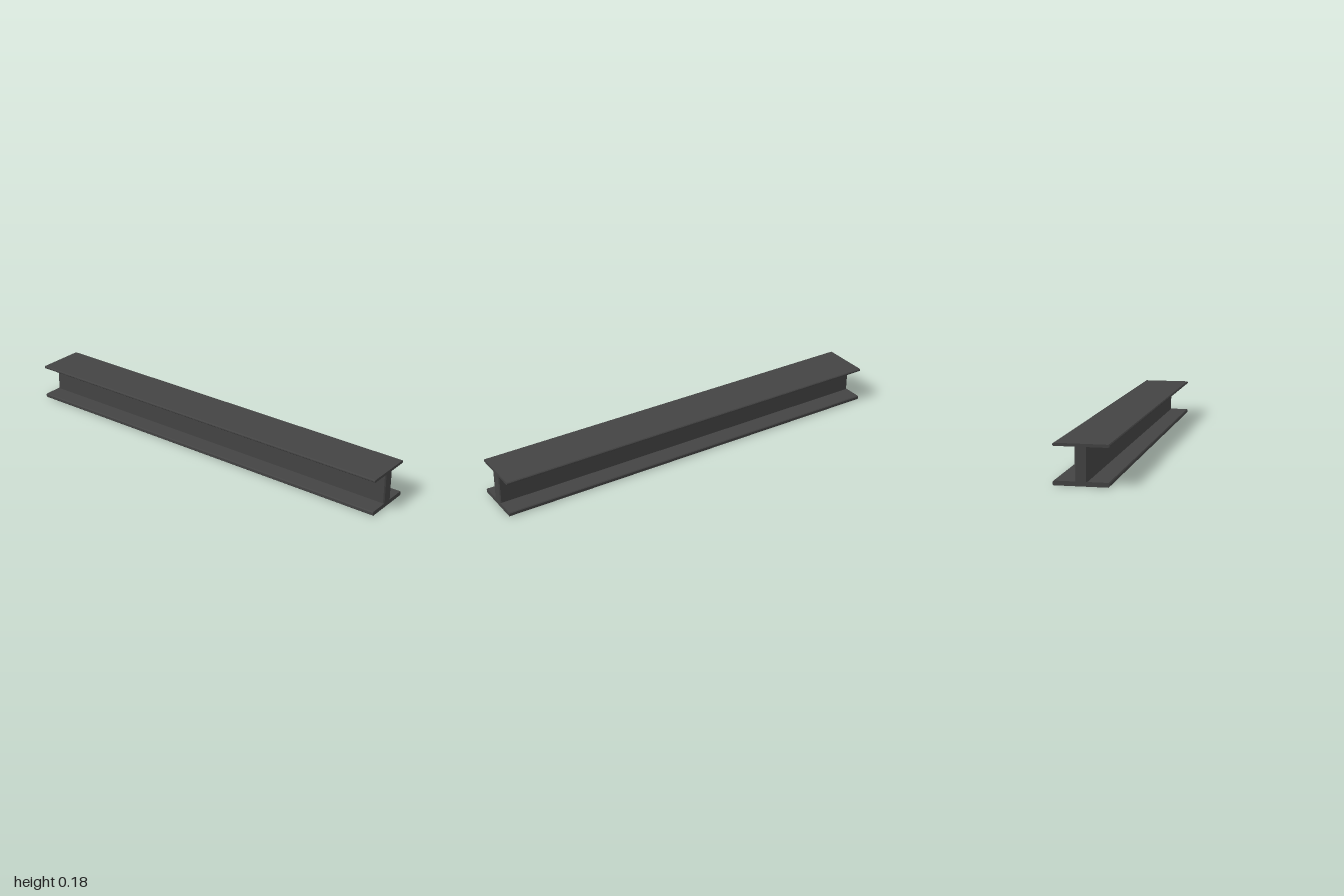
import * as THREE from 'three';

const LENGTH = 2, DEPTH = 0.24, HEIGHT = 0.178;
const BOTTOM = 0.02, TOP = 0.013, WEB = 0.054;

// Rectangle centred on the origin with its four corners cut off
function chamferedRect(w, h, c) {
  const x = w / 2, y = h / 2;
  return new THREE.Shape([
    [-x + c, -y], [x - c, -y], [x, -y + c], [x, y - c],
    [x - c, y], [-x + c, y], [-x, y - c], [-x, -y + c],
  ].map(([a, b]) => new THREE.Vector2(a, b)));
}

export function createModel() {
  const group = new THREE.Group();
  group.name = 'steelBeam';
  const steel = new THREE.MeshStandardMaterial({ color: 0x444444 });

  const add = (name, geometry) => {
    const mesh = new THREE.Mesh(geometry, steel);
    mesh.name = name;
    group.add(mesh);
  };

  // Flange: a plate with chamfered long edges, running along x
  const flange = (name, thickness, y) => {
    const geometry = new THREE.ExtrudeGeometry(chamferedRect(DEPTH, thickness, 0.004), { depth: LENGTH, bevelEnabled: false });
    geometry.translate(0, 0, -LENGTH / 2).rotateY(Math.PI / 2).translate(0, y, 0);
    add(name, geometry);
  };
  flange('bottomFlange', BOTTOM, BOTTOM / 2);
  flange('topFlange', TOP, HEIGHT - TOP / 2);

  // Web: an upright wall with chamfered vertical corners
  const web = new THREE.ExtrudeGeometry(chamferedRect(LENGTH, WEB, 0.005), { depth: HEIGHT - BOTTOM - TOP, bevelEnabled: false });
  web.rotateX(-Math.PI / 2).translate(0, BOTTOM, 0);
  add('web', web);

  return group;
}
